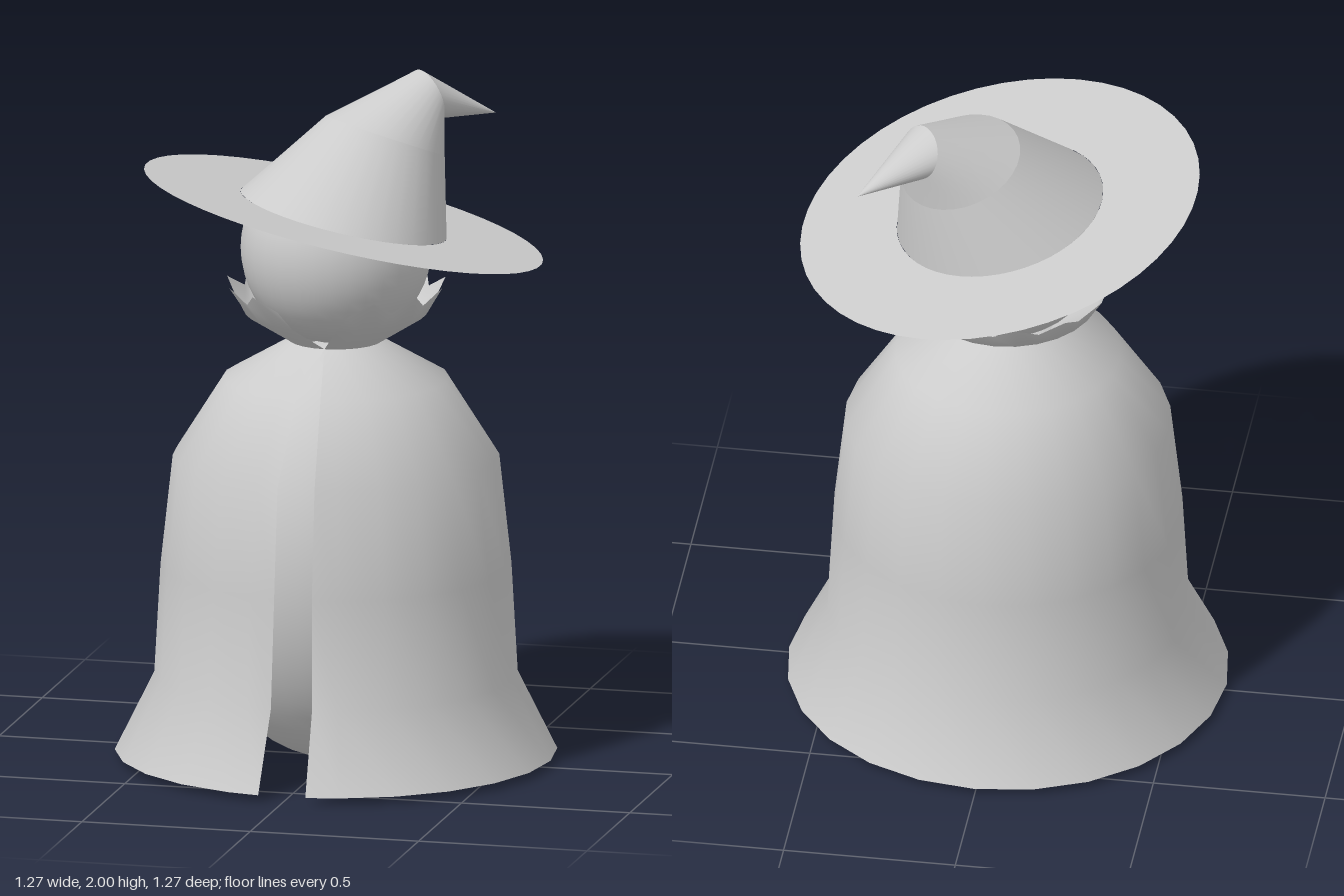
import * as THREE from 'three';

const material = new THREE.MeshStandardMaterial({ color: 0xcccccc, side: THREE.DoubleSide });

// Smooth surface stretched over rings of points, listed from bottom to top.
function skin(rings, closed) {
  const n = rings[0].length;
  const positions = [];
  const indices = [];
  rings.forEach(ring => ring.forEach(p => positions.push(p.x, p.y, p.z)));
  for (let j = 0; j < rings.length - 1; j++) {
    for (let i = 0; i < (closed ? n : n - 1); i++) {
      const a = j * n + i, b = j * n + (i + 1) % n;
      indices.push(a, b, a + n, b, b + n, a + n);
    }
  }
  const geometry = new THREE.BufferGeometry();
  geometry.setAttribute('position', new THREE.Float32BufferAttribute(positions, 3));
  geometry.setIndex(indices);
  geometry.computeVertexNormals();
  return geometry;
}

// Point on a circle around the y axis, angle measured from the front.
const around = (r, y, angle) => new THREE.Vector3(r * Math.sin(angle), y, r * Math.cos(angle));

// Circle of points around a centre, facing along an axis.
function tiltedRing({ center, axis, radius }, segments = 32) {
  const turn = new THREE.Quaternion().setFromUnitVectors(
    new THREE.Vector3(0, 1, 0), new THREE.Vector3(...axis).normalize());
  return Array.from({ length: segments }, (_, i) =>
    around(radius, 0, i / segments * Math.PI * 2).applyQuaternion(turn).add(new THREE.Vector3(...center)));
}

export function createModel() {
  const model = new THREE.Group();
  const add = (name, geometry, parent = model) => {
    const mesh = new THREE.Mesh(geometry, material);
    mesh.name = name;
    parent.add(mesh);
    return mesh;
  };

  // Egg-shaped body inside the cloak
  const body = add('body', new THREE.SphereGeometry(1, 40, 28));
  body.scale.set(0.45, 0.61, 0.45);
  body.position.y = 0.61;

  // Round head
  add('head', new THREE.SphereGeometry(0.275, 32, 24)).position.y = 1.5;

  // Cloak: radius, height and half width of the front slit
  const segments = 24;
  const cloakProfile = [
    [0.637, 0.02, 0.07], [0.523, 0.25, 0.061], [0.505, 0.57, 0.056],
    [0.47, 0.89, 0.055], [0.325, 1.12, 0.036], [0.135, 1.23, 0],
  ];
  add('cloak', skin(cloakProfile.map(([r, y, slit]) => {
    const start = Math.asin(slit / r);
    return Array.from({ length: segments + 1 }, (_, i) => around(r, y,
      THREE.MathUtils.clamp(i / segments * Math.PI * 2, start, Math.PI * 2 - start)));
  }), false));

  // Flared collar with a jagged rim, open at the front
  const collarProfile = [[0.135, 1.23, 0], [0.262, 1.31, 0.065], [0.305, 1.382, 0.11]];
  add('collar', skin(collarProfile.map(([r, y, slit], row) => {
    const start = Math.asin(slit / r);
    return Array.from({ length: segments + 1 }, (_, i) => {
      const jag = row === 2 ? (i % 2 ? 1 : -1) : 0;
      return around(r + jag * 0.015, y + jag * 0.02,
        THREE.MathUtils.lerp(start, Math.PI * 2 - start, i / segments));
    });
  }), false));

  // Tilted hat: flat brim and a cone bent in three sections
  const hat = new THREE.Group();
  hat.name = 'hat';
  model.add(hat);
  const base = { center: [0.025, 1.602, 0.01], axis: [0.217, 1, -0.094], radius: 0.305 };
  const hatRings = [
    base,
    { center: [0.125, 1.82, -0.085], axis: [0.26, 0.93, -0.26], radius: 0.18 },
    { center: [0.225, 1.922, -0.2], axis: [0.66, 0.33, -0.66], radius: 0.078 },
    { center: [0.387, 1.845, -0.34], axis: [0.66, -0.3, -0.66], radius: 0.0005 },
  ].map(ring => tiltedRing(ring));
  add('hatBrim', skin([tiltedRing({ ...base, radius: 0.59 }, 48), tiltedRing(base, 48)], true), hat);
  ['hatCrown', 'hatBend', 'hatTip'].forEach((name, i) =>
    add(name, skin([hatRings[i], hatRings[i + 1]], true), hat));

  return model;
}
